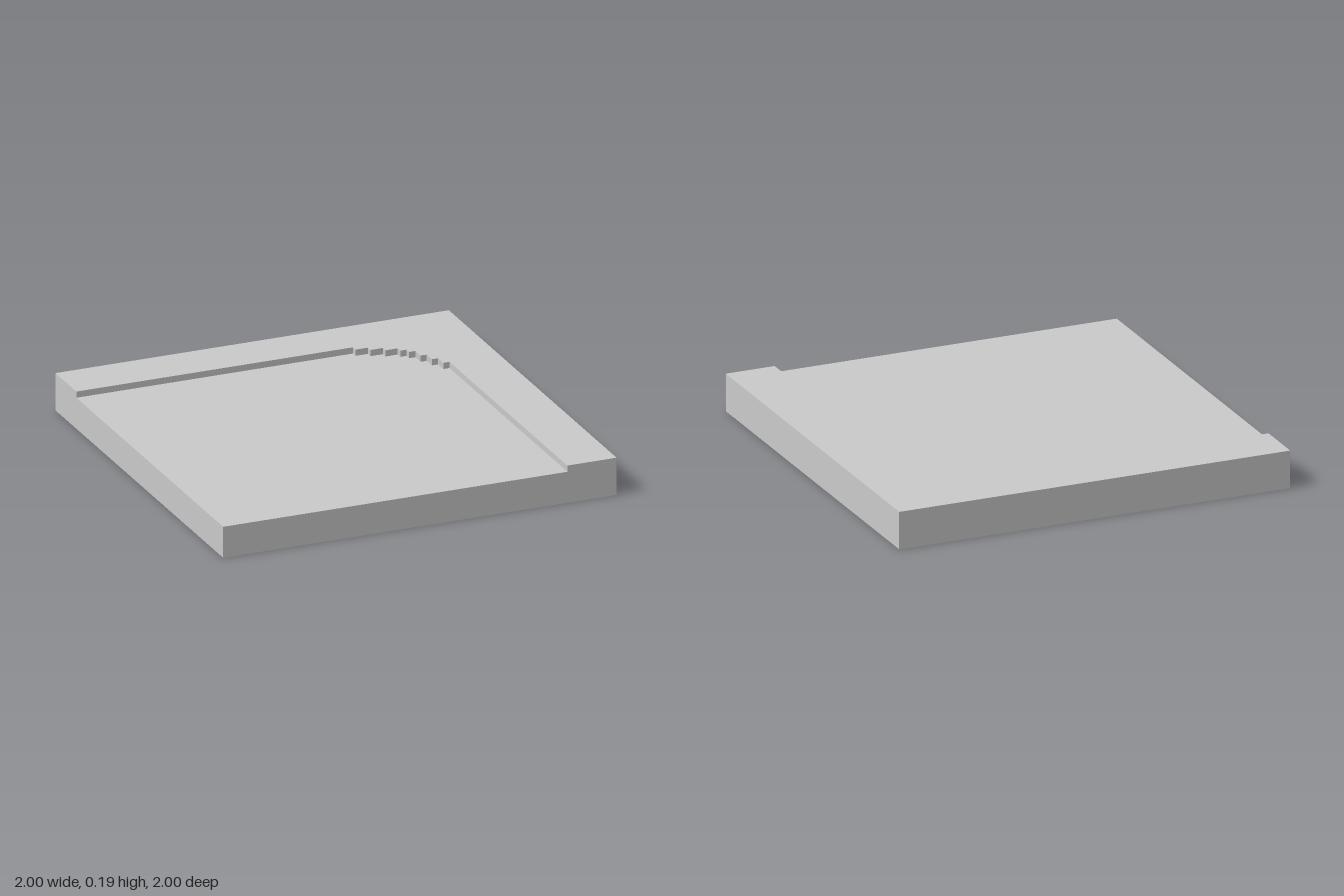
import * as THREE from 'three';

const U = 1 / 32; // grid unit of the blocky style

export function createModel() {
  const group = new THREE.Group();
  const material = new THREE.MeshStandardMaterial({ color: 0xcccccc, flatShading: true });

  // Flat square slab
  const slab = new THREE.Mesh(new THREE.BoxGeometry(2, 5 * U, 2), material);
  slab.name = 'slab';
  slab.position.y = 2.5 * U;
  group.add(slab);

  // Raised L-shaped border along the back and left, with a stepped inner corner
  const shape = new THREE.Shape();
  shape.moveTo(-32 * U, 32 * U);
  shape.lineTo(-32 * U, 24 * U);
  const stepX = [13, 15, 17, 19, 20, 21, 22, 23, 24];
  let level = 24;
  stepX.forEach((x, i) => {
    shape.lineTo(x * U, level * U);
    level = i < 8 ? stepX[7 - i] : -32; // the steps mirror across the diagonal
    shape.lineTo(x * U, level * U);
  });
  shape.lineTo(32 * U, -32 * U);
  shape.lineTo(32 * U, 32 * U);
  shape.closePath();

  const geometry = new THREE.ExtrudeGeometry(shape, { depth: U, bevelEnabled: false });
  geometry.rotateX(-Math.PI / 2);
  const border = new THREE.Mesh(geometry, material);
  border.name = 'raisedBorder';
  border.position.y = 5 * U;
  group.add(border);

  return group;
}
